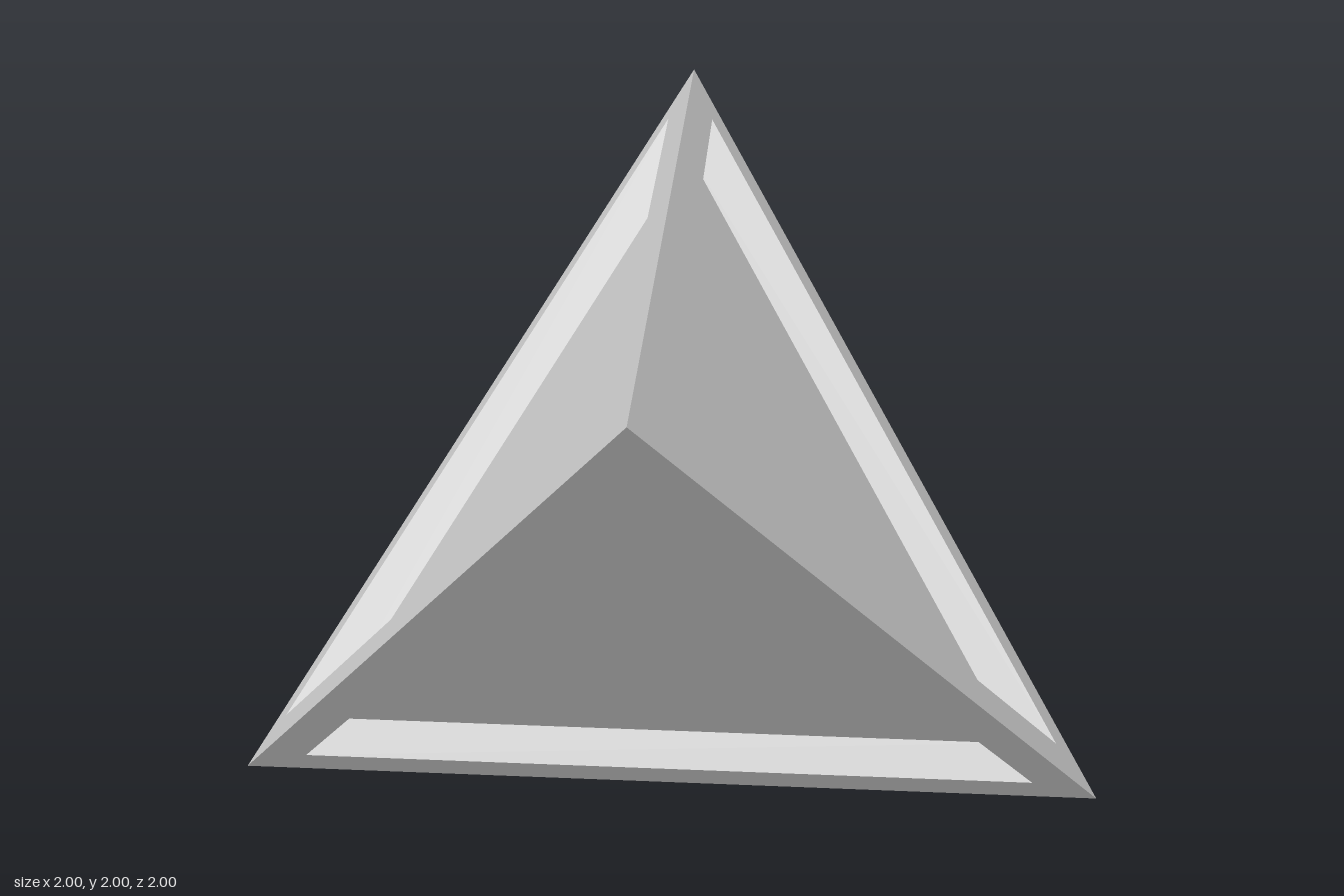
import * as THREE from 'three';

const RIM_SCALE = 0.842;   // opening of each recess, relative to its face
const FLOOR_SCALE = 0.785; // floor of each recess
const DEPTH = 0.116;       // recess depth along the face normal

// Flat-shaded surface joining a series of three-cornered rings, optionally capped
function loft(name, rings, cap, material) {
  const points = [];
  for (let r = 0; r + 1 < rings.length; r++) {
    for (let i = 0; i < 3; i++) {
      const j = (i + 1) % 3;
      const a = rings[r][i], b = rings[r][j], c = rings[r + 1][j], d = rings[r + 1][i];
      points.push(a, b, c, a, c, d);
    }
  }
  if (cap) points.push(...rings[rings.length - 1]);
  const geometry = new THREE.BufferGeometry().setFromPoints(points);
  geometry.computeVertexNormals();
  const mesh = new THREE.Mesh(geometry, material);
  mesh.name = name;
  return mesh;
}

export function createModel() {
  const model = new THREE.Group();
  model.name = 'recessedTetrahedron';
  const material = new THREE.MeshStandardMaterial({ color: 0xcccccc, flatShading: true });

  // Alternate corners of a cube give a regular tetrahedron
  const corners = [[-1, -1, 1], [1, 1, 1], [-1, 1, -1], [1, -1, -1]]
    .map((p) => new THREE.Vector3(...p));

  corners.forEach((opposite, k) => {
    const face = corners.filter((_, i) => i !== k);
    const normal = opposite.clone().negate().normalize();
    const centre = opposite.clone().divideScalar(-3);

    // Keep the corners counter-clockwise as seen from outside
    const turn = face[1].clone().sub(face[0]).cross(face[2].clone().sub(face[0]));
    if (turn.dot(normal) < 0) face.reverse();

    const ring = (scale, depth) => face.map((v) =>
      v.clone().sub(centre).multiplyScalar(scale).add(centre).addScaledVector(normal, -depth));
    const opening = ring(RIM_SCALE, 0);

    const side = new THREE.Group();
    side.name = `side${k + 1}`;
    side.add(
      loft('rim', [face, opening], false, material),
      loft('recess', [opening, ring(FLOOR_SCALE, DEPTH)], true, material),
    );
    side.position.y = 1; // rest on the ground
    model.add(side);
  });
  return model;
}
